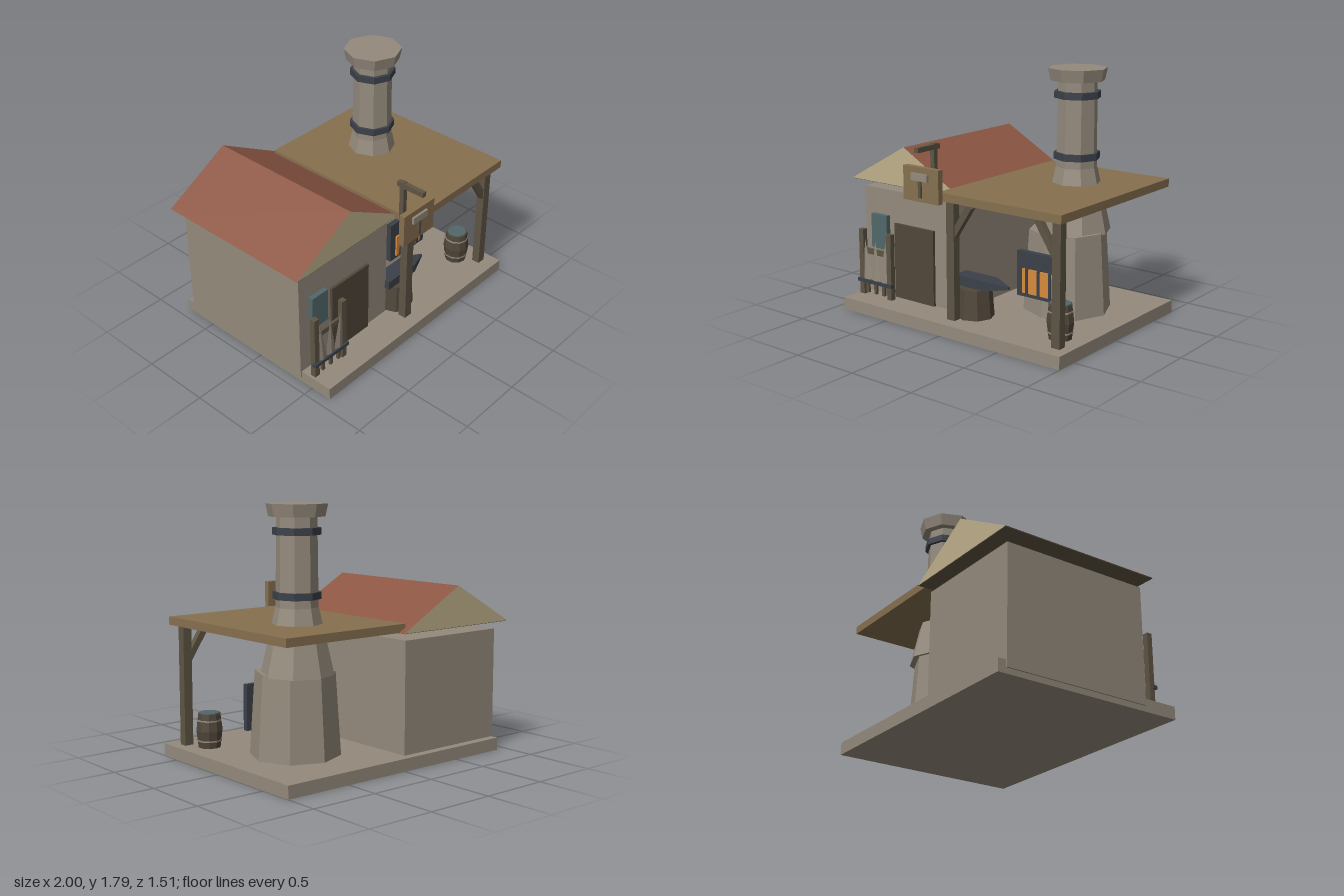
import * as THREE from 'three';

const mat = (name, color) => {
  const m = new THREE.MeshStandardMaterial({ color });
  m.name = name;
  return m;
};

export function createModel() {
  const stone = mat('stone', 0x948a7c);
  const plank = mat('plank', 0x86704f);
  const timber = mat('timber', 0x5e5444);
  const darkWood = mat('dark wood', 0x51473a);
  const tile = mat('roof tile', 0x8c5643);
  const plaster = mat('gable plaster', 0xbfb08c);
  const iron = mat('iron', 0x3b4149);
  const glow = mat('fire glow', 0xd98a3c);
  const glass = mat('blue glass', 0x52686a);

  const model = new THREE.Group();
  model.name = 'smithy';

  const add = (name, geometry, material, x = 0, y = 0, z = 0, parent = model) => {
    const mesh = new THREE.Mesh(geometry, material);
    mesh.name = name;
    mesh.position.set(x, y, z);
    parent.add(mesh);
    return mesh;
  };
  // Box given by its limits on each axis
  const box = (name, material, x0, x1, y0, y1, z0, z1, parent) =>
    add(name, new THREE.BoxGeometry(x1 - x0, y1 - y0, z1 - z0), material,
      (x0 + x1) / 2, (y0 + y1) / 2, (z0 + z1) / 2, parent);
  // Faceted tapered drum standing between two heights
  const drum = (name, material, x, z, y0, y1, r0, r1, sides = 8, parent = model) =>
    add(name, new THREE.CylinderGeometry(r1, r0, y1 - y0, sides).toNonIndexed(), material,
      x, (y0 + y1) / 2, z, parent).geometry.computeVertexNormals();
  const group = (name) => {
    const g = new THREE.Group();
    g.name = name;
    model.add(g);
    return g;
  };

  // Ground slab and house
  box('base', stone, -0.92, 1, 0, 0.09, -0.755, 0.66);
  box('houseWalls', stone, -0.93, -0.05, 0.04, 0.88, -0.695, 0.4);
  box('door', darkWood, -0.63, -0.26, 0.09, 0.645, 0.4, 0.42);
  box('window', glass, -0.84, -0.69, 0.435, 0.69, 0.4, 0.437);

  // Gabled roof: plaster ends, tiled slopes, timber underside
  const gable = new THREE.Shape([
    new THREE.Vector2(-1, 0.94), new THREE.Vector2(0.02, 0.94), new THREE.Vector2(-0.49, 1.225),
  ]);
  add('houseRoof', new THREE.ExtrudeGeometry(gable, { depth: 1.215, bevelEnabled: false }),
    [plaster, tile], 0, 0, -0.757);
  box('roofUnderside', timber, -0.995, 0.015, 0.937, 0.941, -0.755, 0.456);

  // Open workshop canopy on two braced posts
  box('canopy', plank, -0.04, 0.97, 0.94, 0.998, -0.705, 0.615);
  for (const side of [-1, 1]) {
    const cx = 0.457 + side * 0.44;
    box('post', timber, cx - 0.033, cx + 0.033, 0.09, 0.94, 0.5, 0.56);
    const brace = add('brace', new THREE.BoxGeometry(0.046, 0.28, 0.045), timber,
      0.457 + side * 0.355, 0.8, 0.53);
    brace.rotation.z = side * 0.58;
  }

  // Furnace and chimney
  const chimney = group('chimney');
  const cx = 0.505, cz = -0.23;
  drum('furnaceBase', stone, 0.48, -0.173, 0.09, 0.67, 0.313, 0.275, 8, chimney);
  drum('furnaceHood', stone, cx, cz, 0.655, 1.11, 0.25, 0.146, 8, chimney);
  drum('chimneyStack', stone, cx, cz, 1.11, 1.71, 0.144, 0.137, 8, chimney);
  drum('chimneyCap', stone, cx, cz, 1.71, 1.795, 0.19, 0.208, 8, chimney);
  for (const y of [1.165, 1.59])
    drum('chimneyBand', iron, cx, cz, y, y + 0.048, 0.163, 0.163, 8, chimney);

  // Firebox
  const firebox = group('firebox');
  box('fireFrame', iron, 0.285, 0.67, 0.225, 0.55, 0.12, 0.16, firebox);
  box('fireGlow', glow, 0.34, 0.615, 0.255, 0.43, 0.155, 0.174, firebox);
  for (const x of [0.38, 0.478, 0.575])
    box('fireBar', iron, x - 0.01, x + 0.01, 0.25, 0.435, 0.16, 0.18, firebox);

  // Anvil on a stump
  drum('stump', darkWood, 0.085, 0.375, 0.09, 0.3, 0.135, 0.118);
  const anvil = group('anvil');
  box('anvilFoot', iron, 0, 0.17, 0.295, 0.315, 0.325, 0.425, anvil);
  box('anvilBody', iron, -0.06, 0.23, 0.31, 0.377, 0.31, 0.44, anvil);
  const horn = new THREE.BoxGeometry(0.15, 0.067, 0.13).toNonIndexed();
  const p = horn.attributes.position;
  for (let i = 0; i < p.count; i++)
    if (p.getX(i) > 0) p.setXYZ(i, p.getX(i), p.getY(i) * 0.25, p.getZ(i) * 0.12);
  horn.computeVertexNormals();
  add('anvilHorn', horn, iron, 0.305, 0.3435, 0.375, anvil);

  // Quenching barrel
  const barrel = group('barrel');
  const bx = 0.808, bz = 0.378;
  drum('barrelLower', darkWood, bx, bz, 0.09, 0.21, 0.08, 0.095, 10, barrel);
  drum('barrelUpper', darkWood, bx, bz, 0.21, 0.33, 0.095, 0.08, 10, barrel);
  drum('barrelWater', glass, bx, bz, 0.328, 0.336, 0.072, 0.072, 10, barrel);
  for (const y of [0.14, 0.283])
    drum('barrelHoop', stone, bx, bz, y - 0.005, y + 0.005, 0.09, 0.09, 10, barrel);

  // Weapon rack
  const rack = group('weaponRack');
  box('rackPost', timber, -0.9, -0.857, 0.09, 0.58, 0.47, 0.51, rack);
  box('rackPost', timber, -0.63, -0.587, 0.09, 0.58, 0.47, 0.51, rack);
  box('rackRail', timber, -0.88, -0.61, 0.4, 0.44, 0.475, 0.495, rack);
  box('rackBar', iron, -0.91, -0.577, 0.185, 0.21, 0.495, 0.525, rack);
  for (const i of [-1, 0, 1]) {
    const sword = new THREE.Group();
    sword.name = 'sword';
    sword.position.set(-0.743 + i * 0.082, 0.2, 0.505);
    sword.rotation.z = -i * 0.06;
    rack.add(sword);
    const blade = new THREE.ConeGeometry(0.05, 0.31, 4).toNonIndexed();
    blade.scale(1, 1, 0.25);
    blade.computeVertexNormals();
    add('blade', blade, stone, 0, 0.155, 0, sword);
    box('grip', timber, -0.012, 0.012, -0.09, 0, -0.01, 0.01, sword);
  }

  // Hanging sign with a hammer emblem
  const sign = group('sign');
  box('signPost', timber, -0.12, -0.085, 1.02, 1.32, 0.56, 0.595, sign);
  box('signArm', timber, -0.12, -0.085, 1.28, 1.315, 0.535, 0.755, sign);
  box('signBoard', plank, -0.255, 0.055, 0.94, 1.175, 0.675, 0.718, sign);
  box('hammerHead', stone, -0.175, -0.03, 1.085, 1.135, 0.715, 0.735, sign);
  box('hammerHandle', timber, -0.115, -0.09, 0.97, 1.086, 0.715, 0.73, sign);

  return model;
}
